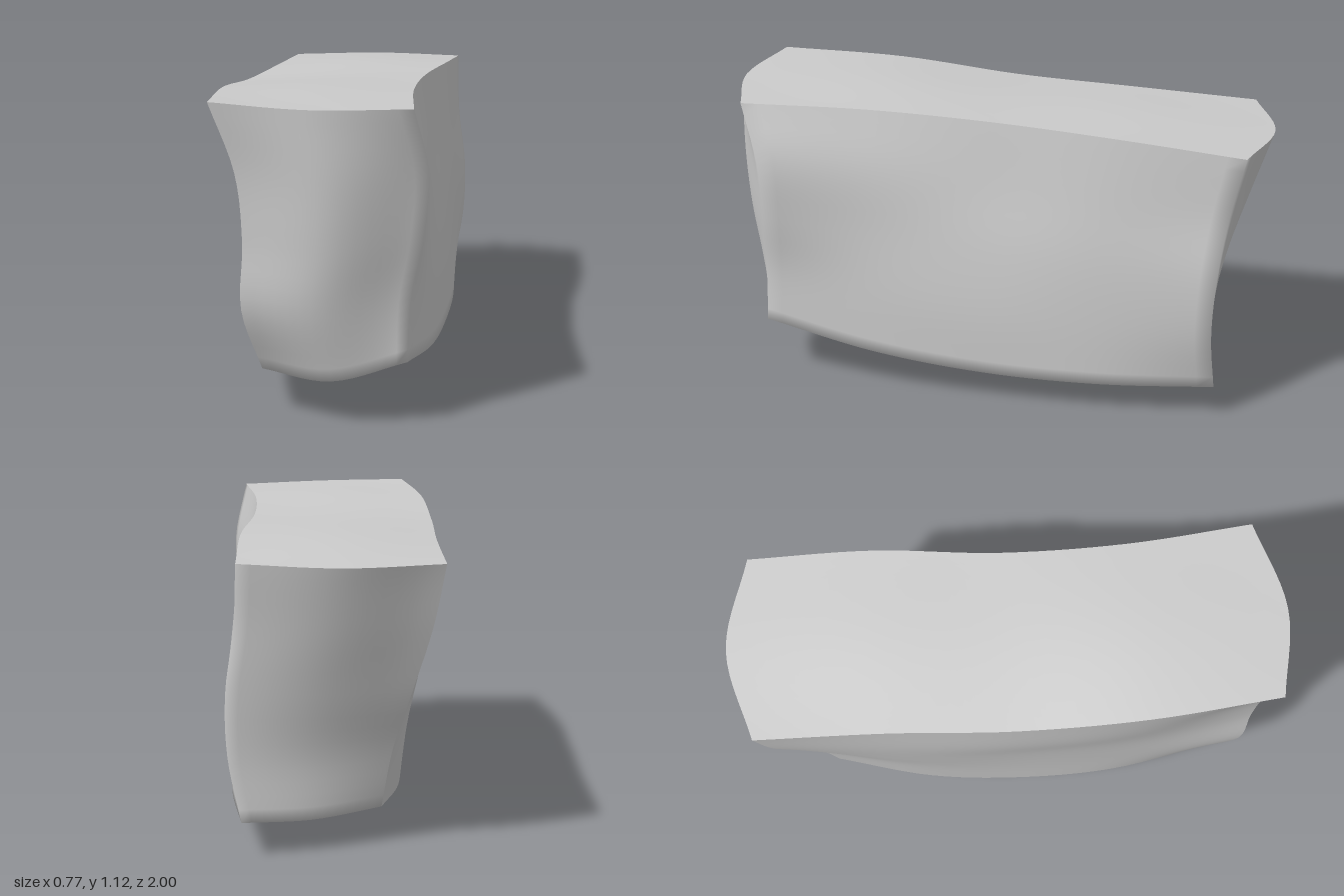
import * as THREE from 'three';
import { mergeVertices } from 'three/addons/utils/BufferGeometryUtils.js';

// Smooth curve through evenly spaced values, k in 0..1
function spline(values, k) {
  const n = values.length - 1;
  const i = Math.min(Math.floor(k * n), n - 1);
  const f = k * n - i;
  const b = values[i], c = values[i + 1];
  const a = i > 0 ? values[i - 1] : 2 * b - c;
  const d = i + 2 <= n ? values[i + 2] : 2 * c - b;
  return b + 0.5 * f * (c - a + f * (2 * a - 5 * b + 4 * c - d + f * (3 * (b - c) + d - a)));
}

const surface = (rows, p, q) => spline(rows.map((row) => spline(row, q)), p);

// Side offsets: rows run from back to front; values run bottom to top
const RIGHT = [
  [0.33, 0.375, 0.38, 0.35, 0.34],
  [0.37, 0.375, 0.37, 0.35, 0.33],
  [0.37, 0.37, 0.35, 0.315, 0.285],
  [0.355, 0.355, 0.345, 0.33, 0.285],
  [0.31, 0.32, 0.36, 0.375, 0.33],
];
const LEFT = [
  [-0.155, -0.19, -0.25, -0.31, -0.35],
  [-0.24, -0.27, -0.31, -0.345, -0.36],
  [-0.27, -0.29, -0.32, -0.365, -0.385],
  [-0.26, -0.28, -0.305, -0.35, -0.385],
  [-0.2, -0.25, -0.24, -0.26, -0.34],
];
// End offsets: rows run from -x to +x; values run bottom to top
const FRONT = [
  [0.785, 0.89, 0.905, 0.92, 0.95],
  [0.89, 0.95, 0.98, 0.995, 1.0],
  [0.86, 0.85, 0.84, 0.845, 0.91],
];
const BACK = [
  [-0.68, -0.73, -0.81, -0.87, -0.91],
  [-0.78, -0.79, -0.85, -0.925, -1.0],
  [-0.845, -0.83, -0.84, -0.87, -0.92],
];
// Heights: rows run from -x to +x; values run back to front
const BOTTOM = [
  [0.125, 0.1, 0.1, 0.115, 0.16],
  [0.11, 0.012, 0.0, 0.06, 0.16],
  [0.12, 0.11, 0.115, 0.155, 0.23],
];
const TOP = [
  [1.01, 1.03, 1.045, 1.09, 1.115],
  [1.01, 1.05, 1.065, 1.1, 1.105],
  [1.015, 1.055, 1.073, 1.09, 1.1],
];

export function createModel() {
  const group = new THREE.Group();
  group.name = 'carvedBlock';
  const material = new THREE.MeshStandardMaterial({ color: 0xcccccc, roughness: 0.9 });

  // Unit box bent to the six curved faces
  const box = new THREE.BoxGeometry(1, 1, 1, 14, 20, 28);
  const pos = box.attributes.position;
  for (let i = 0; i < pos.count; i++) {
    const u = pos.getX(i) + 0.5, v = pos.getY(i) + 0.5, w = pos.getZ(i) + 0.5;
    pos.setXYZ(
      i,
      THREE.MathUtils.lerp(surface(LEFT, w, v), surface(RIGHT, w, v), u),
      THREE.MathUtils.lerp(surface(BOTTOM, u, w), surface(TOP, u, w), v),
      THREE.MathUtils.lerp(surface(BACK, u, v), surface(FRONT, u, v), w),
    );
  }

  // Box sides are ordered +x, -x, +y, -y, +z, -z; each part is smooth, with sharp rims between parts
  const parts = { roundedBody: [0, 3, 4, 5], flatSide: [1], topFace: [2] };
  for (const [name, sides] of Object.entries(parts)) {
    const index = [];
    for (const s of sides) {
      const { start, count } = box.groups[s];
      for (let i = start; i < start + count; i++) index.push(box.index.getX(i));
    }
    const piece = new THREE.BufferGeometry();
    piece.setAttribute('position', pos.clone());
    piece.setIndex(index);
    const geometry = mergeVertices(piece, 1e-4);
    geometry.computeVertexNormals();
    const mesh = new THREE.Mesh(geometry, material);
    mesh.name = name;
    group.add(mesh);
  }
  return group;
}
